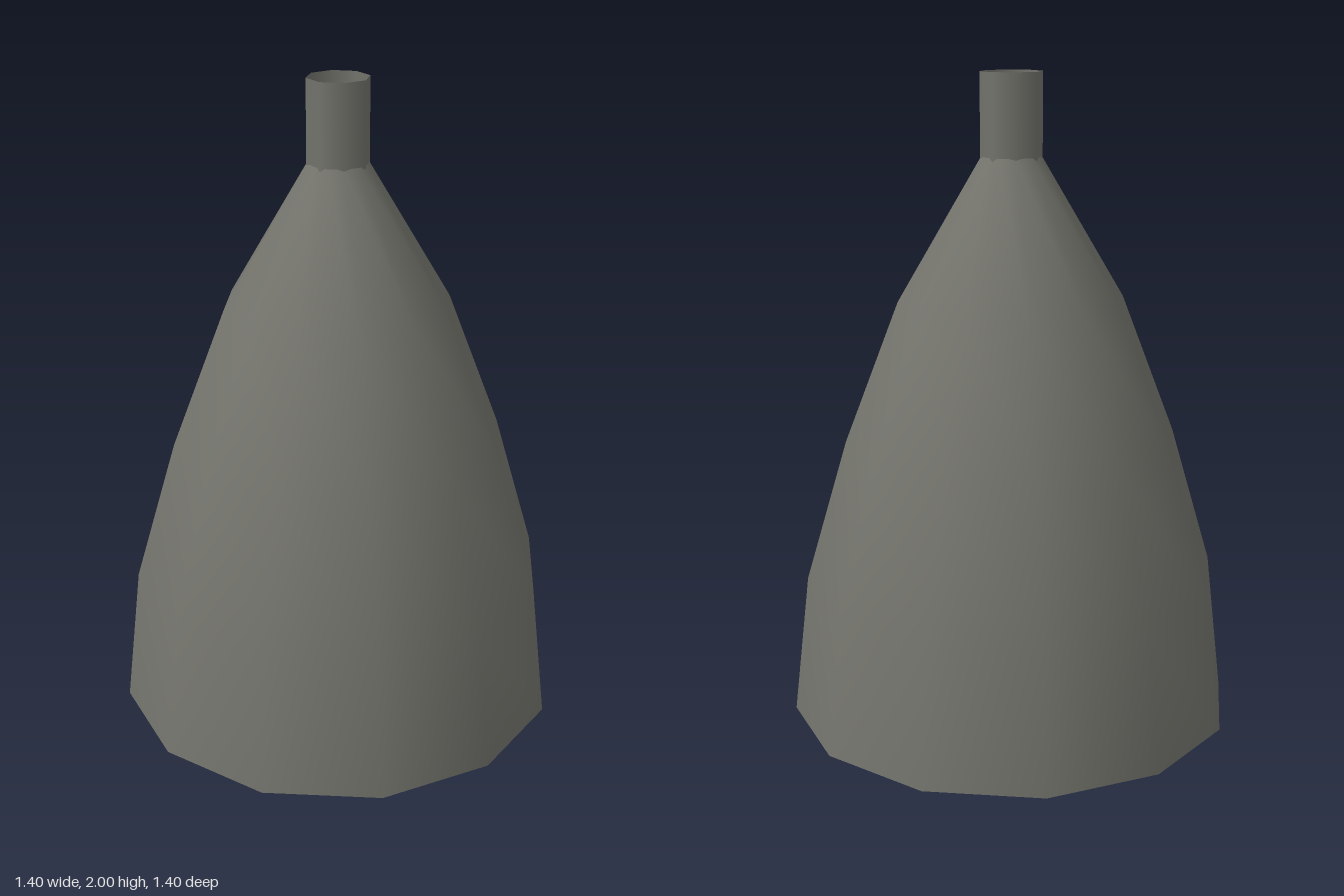
import * as THREE from 'three';

const SIDES = 12;

export function createModel() {
  const group = new THREE.Group();
  group.name = 'nozzle';
  const metal = new THREE.MeshStandardMaterial({ color: 0x74746d, side: THREE.DoubleSide });
  metal.name = 'dark grey metal';

  const add = (name, geometry, y = 0) => {
    const mesh = new THREE.Mesh(geometry, metal);
    mesh.name = name;
    mesh.position.y = y;
    group.add(mesh);
    return mesh;
  };
  const lathe = (points) =>
    new THREE.LatheGeometry(points.map(([r, y]) => new THREE.Vector2(r, y)), SIDES);

  // Bell: outer skin, hollow with a ceiling, and the flat lip joining them
  const outer = [[0.698, 0], [0.647, 0.44], [0.517, 0.88], [0.349, 1.315], [0.092, 1.75]];
  const inner = [[0, 0.7], [0.485, 0.7], [0.605, 0]];
  add('bellOuter', lathe(outer));
  add('bellInner', lathe(inner));
  add('bellLip', lathe([[0.605, 0], [0.698, 0]]));

  // Open feed pipe with a closed floor
  add('feedPipe', new THREE.CylinderGeometry(0.095, 0.095, 0.26, 8, 1, true), 1.87);
  const floor = new THREE.CircleGeometry(0.095, 8);
  floor.rotateX(-Math.PI / 2);
  add('pipeFloor', floor, 1.752);

  return group;
}
